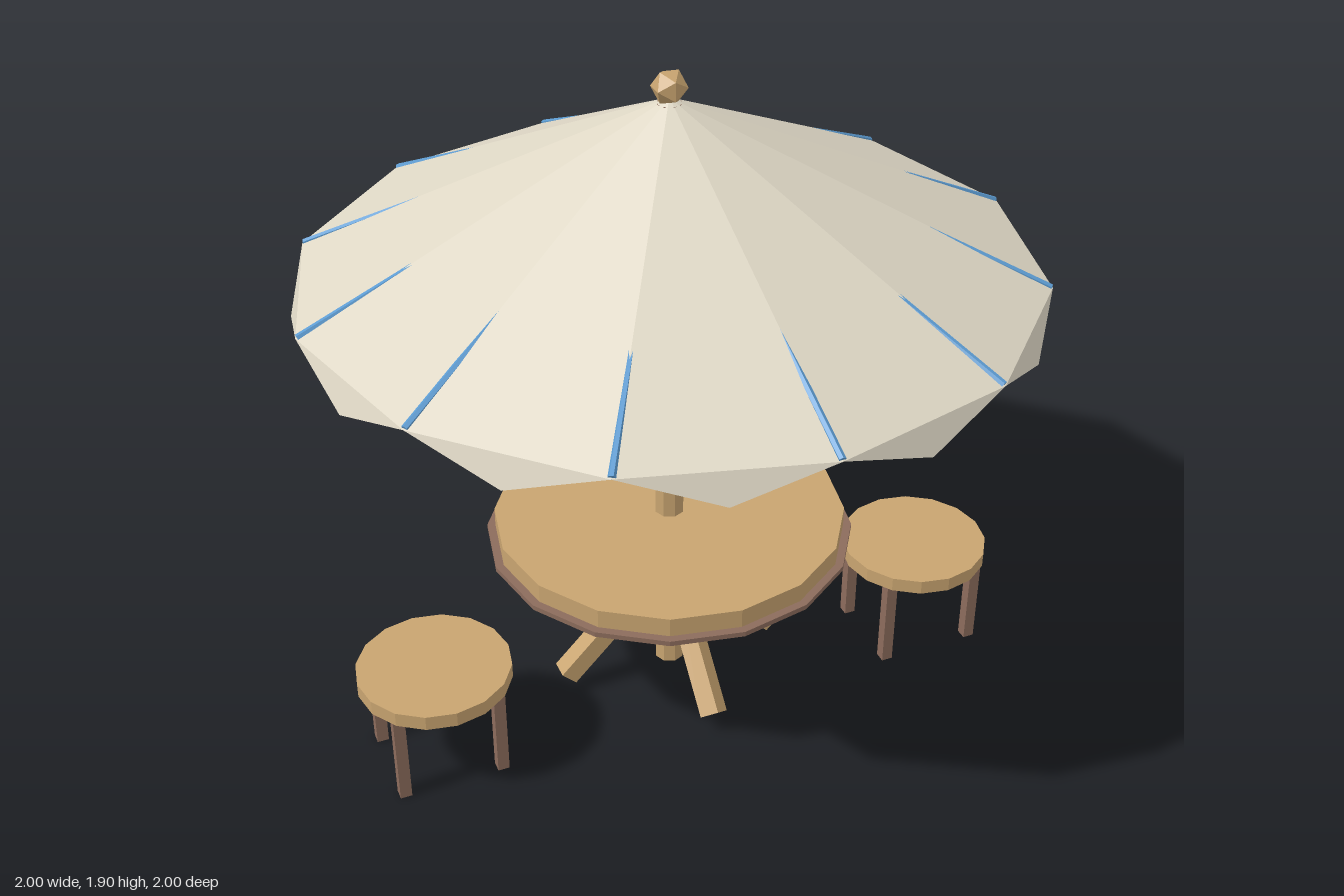
import * as THREE from 'three';

const mat = (name, color, side = THREE.FrontSide) =>
  new THREE.MeshStandardMaterial({ name, color, side, flatShading: true });

export function createModel() {
  const wood = mat('lightWood', 0xc8a470);
  const brown = mat('brownWood', 0x8c6c5c);
  const cloth = mat('canopyCloth', 0xded7c5, THREE.DoubleSide);
  const blue = mat('blueRib', 0x5c9bd1);

  const model = new THREE.Group();
  model.name = 'parasolTable';

  const add = (parent, name, geometry, material, x = 0, y = 0, z = 0) => {
    const mesh = new THREE.Mesh(geometry, material);
    mesh.name = name;
    mesh.position.set(x, y, z);
    parent.add(mesh);
    return mesh;
  };
  // Upright prism spanning y0 to y1
  const column = (parent, name, r, y0, y1, sides, material) =>
    add(parent, name, new THREE.CylinderGeometry(r, r, y1 - y0, sides), material, 0, (y0 + y1) / 2);
  // Align the y axis of a mesh with the line from a to b
  const UP = new THREE.Vector3(0, 1, 0);
  const between = (mesh, a, b) => {
    mesh.position.addVectors(a, b).multiplyScalar(0.5);
    mesh.quaternion.setFromUnitVectors(UP, b.clone().sub(a).normalize());
  };

  // Centre post and pole
  column(model, 'post', 0.043, 0.03, 1.02, 8, wood);
  column(model, 'pole', 0.033, 1.0, 1.82, 8, brown);

  // Table
  column(model, 'tableTop', 0.503, 0.51, 0.567, 16, wood);
  column(model, 'tableUnderplate', 0.526, 0.496, 0.511, 16, brown);

  // Four splayed braces; the front and back ones stand on edge
  for (let i = 0; i < 4; i++) {
    const a = (i * Math.PI) / 2;
    const top = new THREE.Vector3(0, 0.395, 0);
    const foot = new THREE.Vector3(Math.sin(a) * 0.332, 0.058, Math.cos(a) * 0.332);
    const geometry = new THREE.BoxGeometry(0.058, top.distanceTo(foot), 0.058);
    if (i % 2 === 0) geometry.rotateY(Math.PI / 4);
    between(add(model, 'brace', geometry, wood), foot, top);
  }

  // Canopy: twelve panels, each with a pointed flap
  const N = 12, APEX = 1.835, RIM = 1.36;
  const ring = (i, r, y) => {
    const a = (i / N) * Math.PI * 2;
    return [Math.sin(a) * r, y, Math.cos(a) * r];
  };
  const panels = [], flaps = [];
  for (let i = 0; i < N; i++) {
    const a = ring(i, 1, RIM), b = ring(i + 1, 1, RIM);
    panels.push(0, APEX, 0, ...a, ...b);
    flaps.push(...a, ...ring(i + 0.5, 0.995, 1.28), ...b);
  }
  const surface = (name, points) => {
    const geometry = new THREE.BufferGeometry();
    geometry.setAttribute('position', new THREE.Float32BufferAttribute(points, 3));
    geometry.computeVertexNormals();
    add(model, name, geometry, cloth);
  };
  surface('canopy', panels);
  surface('canopyFlaps', flaps);

  // Ribs under the seams, breaking through near the rim
  for (let i = 0; i < N; i++) {
    const inner = new THREE.Vector3(...ring(i, 0.02, 1.796));
    const outer = new THREE.Vector3(...ring(i, 0.995, 1.361));
    const rib = add(model, 'rib', new THREE.CylinderGeometry(0.01, 0.01, inner.distanceTo(outer), 6), blue);
    between(rib, inner, outer);
  }

  add(model, 'finial', new THREE.IcosahedronGeometry(0.049), wood, 0, 1.863, 0);

  // Two stools
  for (const side of [-1, 1]) {
    const stool = new THREE.Group();
    stool.name = side > 0 ? 'leftStool' : 'rightStool';
    stool.position.set(side * 0.754, 0, 0.115);
    column(stool, 'stoolSeat', 0.217, 0.28, 0.323, 16, wood);
    for (const x of [-0.142, 0.142])
      for (const z of [-0.122, 0.122])
        add(stool, 'stoolLeg', new THREE.BoxGeometry(0.033, 0.285, 0.033), brown, x, 0.1425, z);
    model.add(stool);
  }
  return model;
}
